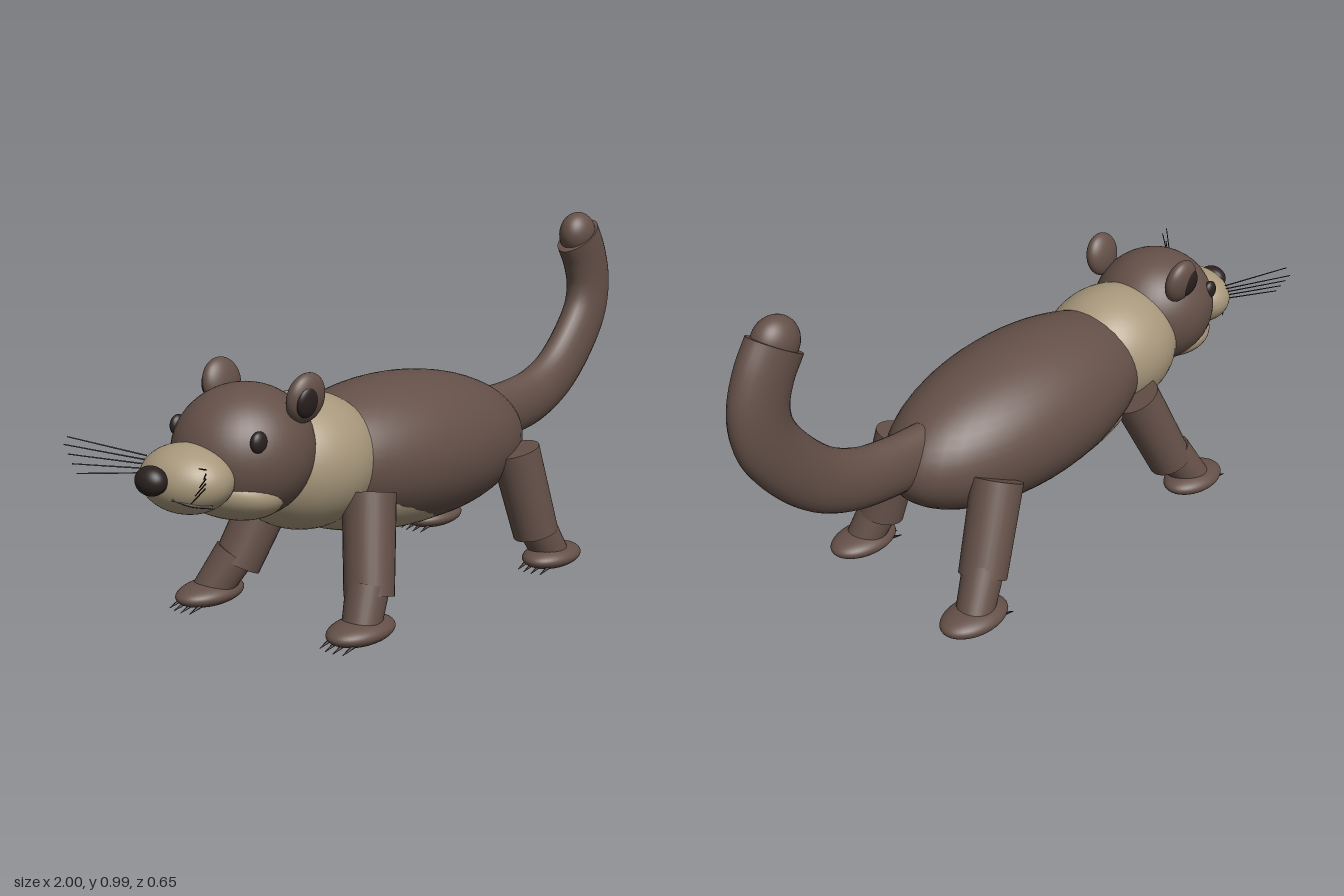
import * as THREE from 'three';

const brown = new THREE.MeshStandardMaterial({ color: 0x645048 });
const cream = new THREE.MeshStandardMaterial({ color: 0xa8987c });
const dark = new THREE.MeshStandardMaterial({ color: 0x2a2120 });
const V = (p) => new THREE.Vector3(...p);

export function createModel() {
  const model = new THREE.Group();
  model.name = 'animal';

  const add = (name, geometry, material, parent = model) => {
    const mesh = new THREE.Mesh(geometry, material);
    mesh.name = name;
    parent.add(mesh);
    return mesh;
  };
  const ellipsoid = (name, material, pos, radii, tilt = 0, parent = model) => {
    const mesh = add(name, new THREE.SphereGeometry(1, 40, 28), material, parent);
    mesh.position.set(...pos);
    mesh.scale.set(...radii);
    mesh.rotation.z = tilt;
    return mesh;
  };
  // Tapered round bar from point a to point b
  const bar = (name, material, a, b, ra, rb, parent = model, sides = 28) => {
    const from = V(a), dir = V(b).sub(from);
    const mesh = add(name, new THREE.CylinderGeometry(rb, ra, dir.length(), sides), material, parent);
    mesh.position.copy(from).addScaledVector(dir, 0.5);
    mesh.quaternion.setFromUnitVectors(new THREE.Vector3(0, 1, 0), dir.normalize());
    return mesh;
  };

  // Trunk, facing -x
  ellipsoid('body', brown, [-0.015, 0.403, 0], [0.486, 0.215, 0.235], -0.075);
  ellipsoid('belly', cream, [-0.1, 0.33, 0], [0.42, 0.14, 0.19], -0.1);
  ellipsoid('neck', cream, [-0.42, 0.445, 0], [0.22, 0.185, 0.19], -0.1);

  // Head
  ellipsoid('head', brown, [-0.63, 0.51, 0], [0.19, 0.175, 0.18]);
  ellipsoid('jaw', cream, [-0.685, 0.42, 0], [0.125, 0.075, 0.155], -0.25);
  ellipsoid('snout', cream, [-0.825, 0.478, 0], [0.105, 0.087, 0.13]);
  ellipsoid('nose', dark, [-0.94, 0.495, 0], [0.035, 0.037, 0.045]);

  for (const s of [1, -1]) {
    const side = s > 0 ? 'left' : 'right';
    ellipsoid(side + 'Eye', dark, [-0.72, 0.57, s * 0.144], [0.025, 0.028, 0.016]);

    // Ear leaning outwards, with a dark inner dish
    const ear = new THREE.Group();
    ear.name = side + 'Ear';
    ear.position.set(-0.56, 0.655, s * 0.15);
    ear.rotation.x = s * 0.17;
    model.add(ear);
    ellipsoid('earShell', brown, [0, 0, 0], [0.062, 0.066, 0.032], 0, ear);
    ellipsoid('innerEar', dark, [-0.014, -0.003, s * 0.021], [0.036, 0.041, 0.015], 0, ear);

    // Mouth line
    const mouth = new THREE.CatmullRomCurve3([
      [-0.915, 0.452, s * 0.045], [-0.888, 0.438, s * 0.083], [-0.845, 0.428, s * 0.108],
    ].map(V));
    add(side + 'Mouth', new THREE.TubeGeometry(mouth, 12, 0.005, 6), dark);

    // Whiskers
    for (let i = 0; i < 5; i++) {
      bar(side + 'Whisker', dark, [-0.86, 0.48 + i * 0.011, s * 0.105],
        [-1, 0.49 + i * 0.022, s * (0.25 - Math.abs(i - 3) * 0.015)], 0.002, 0.0015, model, 5);
    }
  }

  // Legs in mid-stride: hip, ankle and foot centre of each
  const legs = [
    ['frontLeftLeg', [-0.34, 0.365, 0.165], [-0.405, 0.11, 0.22], [-0.455, 0.036, 0.235]],
    ['frontRightLeg', [-0.34, 0.365, -0.165], [-0.455, 0.12, -0.22], [-0.52, 0.047, -0.26]],
    ['hindLeftLeg', [0.275, 0.365, 0.185], [0.33, 0.11, 0.225], [0.38, 0.036, 0.248]],
    ['hindRightLeg', [0.275, 0.365, -0.185], [0.385, 0.13, -0.23], [0.45, 0.047, -0.258]],
  ];
  for (const [name, hip, ankle, foot] of legs) {
    const leg = new THREE.Group();
    leg.name = name;
    model.add(leg);
    bar('upperLeg', brown, hip, ankle, 0.072, 0.067, leg);
    bar('lowerLeg', brown, [ankle[0] - 0.005, ankle[1] + 0.03, ankle[2]], foot, 0.058, 0.052, leg);
    ellipsoid('foot', brown, foot, [0.11, 0.034, 0.072], 0, leg);
    for (let i = -1.5; i <= 1.5; i++) {
      const z = foot[2] + i * 0.026, x = foot[0] + Math.abs(i) * 0.008;
      bar('claw', dark, [x - 0.075, foot[1] - 0.012, z], [x - 0.125, foot[1] - 0.027, z], 0.007, 0.001, leg, 8);
    }
  }

  // Tail: upright oval section, curling up to a rounded tip
  const tail = new THREE.Group();
  tail.name = 'tail';
  tail.scale.z = 0.64;
  model.add(tail);
  const path = new THREE.CatmullRomCurve3([
    [0.36, 0.42, 0], [0.5, 0.425, 0], [0.62, 0.445, 0], [0.73, 0.495, 0], [0.83, 0.585, 0],
    [0.895, 0.68, 0], [0.909, 0.765, 0], [0.885, 0.85, 0], [0.845, 0.918, 0],
  ].map(V));
  add('tailTube', new THREE.TubeGeometry(path, 64, 0.087, 28), brown, tail);
  const cap = add('tailEnd', new THREE.CircleGeometry(0.087, 28), brown, tail);
  cap.position.copy(path.getPointAt(1));
  cap.lookAt(path.getPointAt(1).add(path.getTangentAt(1)));
  ellipsoid('tailTip', brown, [0.843, 0.925, 0], [0.067, 0.067, 0.08], 0, tail);

  return model;
}
